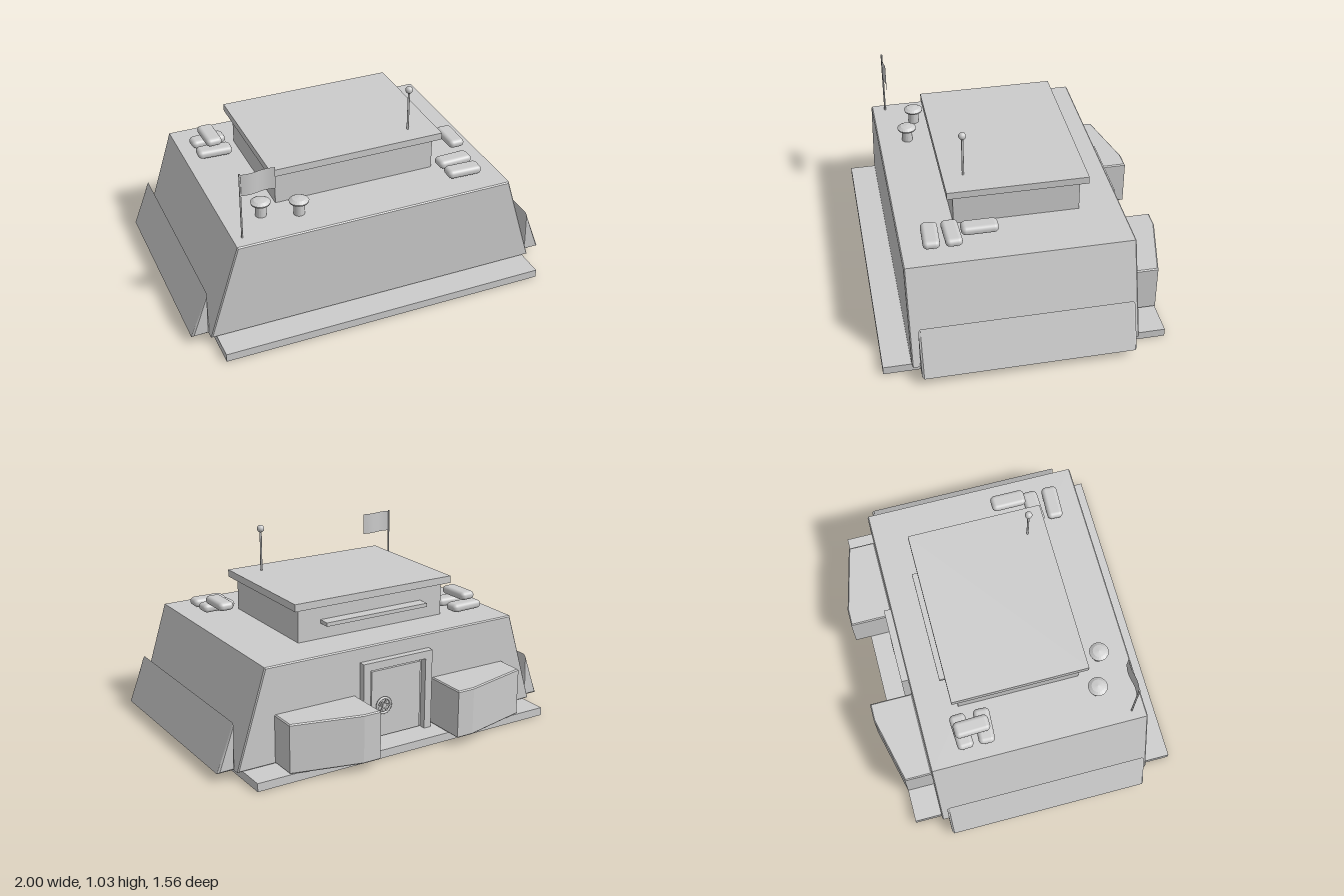
import * as THREE from 'three';
import { RoundedBoxGeometry } from 'three/addons/geometries/RoundedBoxGeometry.js';

// Double-sided because the base tray and the flag are open surfaces
const concrete = new THREE.MeshStandardMaterial({ color: 0xcccccc, side: THREE.DoubleSide });
concrete.name = 'concrete grey';

export function createModel() {
  const model = new THREE.Group();
  model.name = 'bunker';

  function add(name, geometry, x = 0, y = 0, z = 0, parent = model) {
    const mesh = new THREE.Mesh(geometry, concrete);
    mesh.name = name;
    mesh.position.set(x, y, z);
    parent.add(mesh);
    return mesh;
  }
  // Box given by its limits on each axis
  function block(name, [x0, x1], [y0, y1], [z0, z1], parent = model) {
    return add(name, new THREE.BoxGeometry(x1 - x0, y1 - y0, z1 - z0),
      (x0 + x1) / 2, (y0 + y1) / 2, (z0 + z1) / 2, parent);
  }
  // Extrusion from 0 to length with chamfered ends that stay inside the outline
  function prism(points, length, bevel) {
    const shape = new THREE.Shape(points.map(p => new THREE.Vector2(...p)));
    return new THREE.ExtrudeGeometry(shape, {
      depth: length - 2 * bevel, bevelEnabled: true, bevelThickness: bevel,
      bevelSize: bevel, bevelOffset: -bevel, bevelSegments: 1,
    }).translate(0, 0, bevel);
  }

  // Ground slab: a shallow tray, open underneath (the fourth box face is left out)
  const slab = block('baseSlab', [-0.88, 0.88], [0, 0.044], [-0.69, 0.778]).geometry;
  slab.setIndex([...slab.index.array].filter((_, i) => i < 18 || i >= 24));
  slab.clearGroups();

  // Main battered hull
  add('hull', prism([[-0.91, 0.045], [0.91, 0.045], [0.75, 0.557], [-0.75, 0.557]], 1.176, 0.006), 0, 0, -0.543);

  // Sloping side skirts
  add('leftSkirt', prism([[0.905, 0.045], [1, 0.045], [0.905, 0.292]], 1.1, 0.01), 0, 0, -0.507);
  add('rightSkirt', prism([[-0.905, 0.045], [-0.905, 0.292], [-1, 0.045]], 1.1, 0.01), 0, 0, -0.507);

  // Upper room, roof and the rear ledge
  block('upperRoom', [-0.445, 0.44], [0.552, 0.74], [-0.322, 0.338]);
  block('roof', [-0.48, 0.477], [0.738, 0.777], [-0.36, 0.373]);
  block('rearLedge', [-0.31, 0.308], [0.639, 0.659], [-0.386, -0.315]);

  // Blast walls on both sides of the rear door
  for (const side of [-1, 1]) {
    const outline = [[0.238, 0.54], [0.703, 0.54], [0.703, 0.69], [0.335, 0.778], [0.238, 0.778]]
      .map(([x, y]) => [x * side, y]);
    const wall = prism(outline, 0.26, 0.006).rotateX(-Math.PI / 2);
    add(side > 0 ? 'leftBlastWall' : 'rightBlastWall', wall, 0, 0.046, 0);
  }

  // Rear door with its frame
  const door = new THREE.Group();
  door.name = 'rearDoor';
  model.add(door);
  for (const side of [-1, 1]) {
    block('doorJamb', [side * 0.19 - 0.021, side * 0.19 + 0.021], [0.045, 0.477], [-0.58, -0.54], door);
  }
  block('doorLintel', [-0.17, 0.17], [0.435, 0.477], [-0.58, -0.54], door);
  block('doorPanel', [-0.15, 0.15], [0.055, 0.42], [-0.56, -0.54], door);

  // Door hand wheel
  const wheel = new THREE.Group();
  wheel.name = 'handWheel';
  wheel.position.set(0.085, 0.23, -0.575);
  door.add(wheel);
  add('wheelRim', new THREE.TorusGeometry(0.041, 0.007, 8, 20), 0, 0, 0, wheel);
  add('wheelHub', new THREE.CylinderGeometry(0.012, 0.012, 0.026, 12).rotateX(Math.PI / 2), 0, 0, 0.006, wheel);
  for (let i = 0; i < 3; i++) {
    add('wheelSpoke', new THREE.BoxGeometry(0.082, 0.008, 0.006), 0, 0, 0, wheel).rotation.z = i * Math.PI / 3;
  }

  // Sandbags: pillow shapes, thinner towards the ends
  function sandbag(x, y, z, alongZ, turn = 0) {
    const geo = new RoundedBoxGeometry(0.19, 0.054, 0.092, 4, 0.024);
    const p = geo.attributes.position;
    for (let i = 0; i < p.count; i++) {
      const u = p.getX(i) / 0.095;
      p.setY(i, p.getY(i) * (1 - 0.25 * u * u));
      p.setZ(i, p.getZ(i) * (1 - 0.1 * u * u));
    }
    add('sandbag', geo, x, y, z).rotation.y = (alongZ ? Math.PI / 2 : 0) + turn;
  }
  sandbag(-0.59, 0.59, -0.34, false, 0.05);
  sandbag(-0.59, 0.59, -0.218, false, -0.05);
  sandbag(-0.592, 0.648, -0.285, true, 0.03);
  sandbag(0.557, 0.59, 0.365, false, 0.03);
  sandbag(0.557, 0.59, 0.474, false, -0.04);
  sandbag(0.604, 0.648, 0.231, true);

  // Mushroom air vents
  const ventProfile = [[0.029, 0], [0.029, 0.072], [0.05, 0.074], [0.052, 0.082], [0.034, 0.094], [0, 0.099]]
    .map(p => new THREE.Vector2(...p));
  for (const [x, z] of [[-0.55, 0.41], [-0.367, 0.47]]) {
    const vent = new THREE.LatheGeometry(ventProfile, 20).toNonIndexed();
    vent.computeVertexNormals();
    add('airVent', vent, x, 0.555, z);
  }

  // Flag pole and waving flag
  add('flagPole', new THREE.CylinderGeometry(0.005, 0.005, 0.37, 8), -0.7, 0.739, 0.558);
  const flag = new THREE.PlaneGeometry(0.18, 0.12, 16, 1);
  const fp = flag.attributes.position;
  for (let i = 0; i < fp.count; i++) fp.setZ(i, 0.006 * Math.sin((fp.getX(i) + 0.09) * 35));
  flag.computeVertexNormals();
  add('flag', flag, -0.61, 0.86, 0.558);

  // Roof antenna
  add('antennaMast', new THREE.CylinderGeometry(0.006, 0.006, 0.225, 8), 0.33, 0.887, 0.265);
  add('antennaBall', new THREE.SphereGeometry(0.02, 12, 8), 0.33, 1.01, 0.265);

  return model;
}
